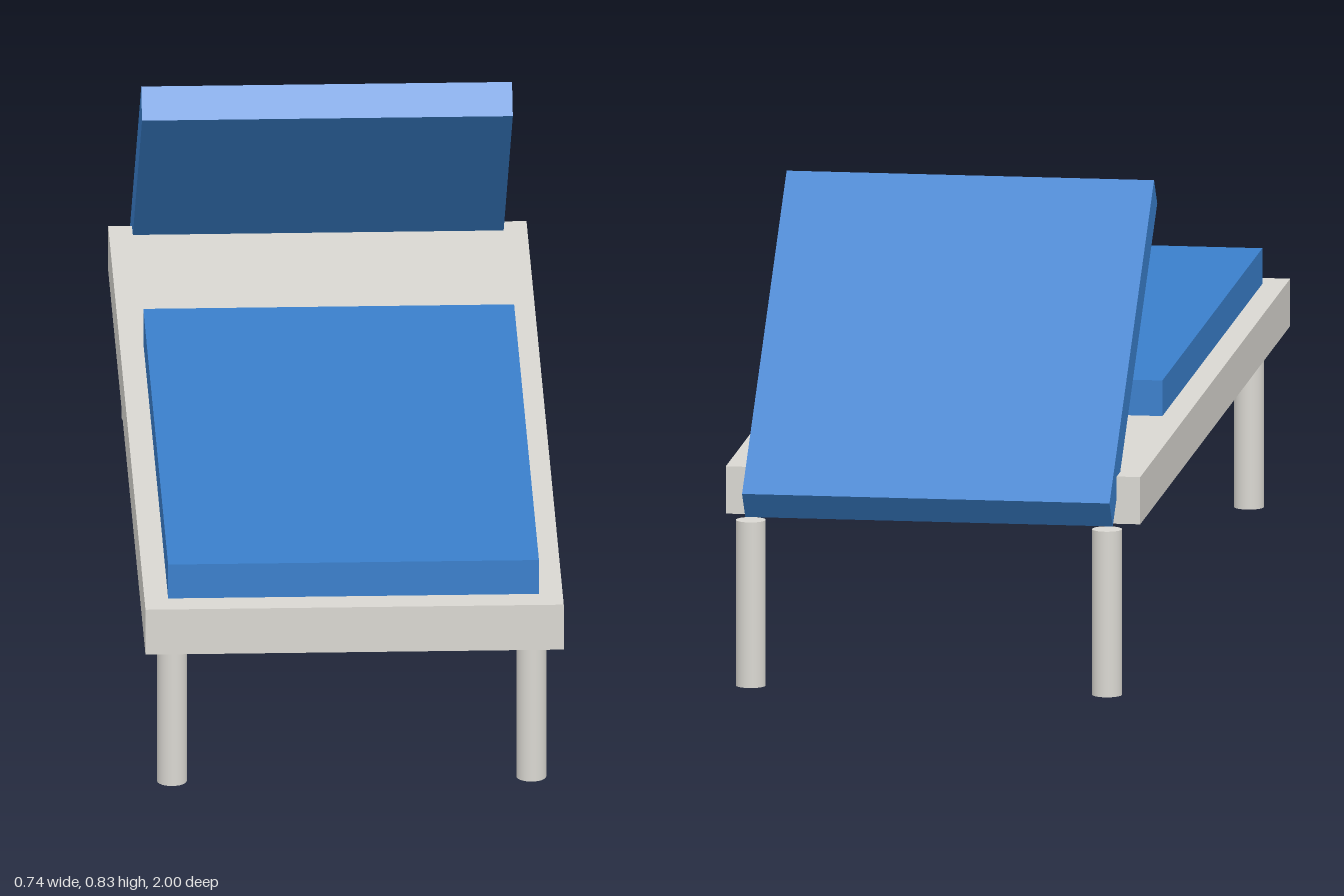
import * as THREE from 'three';

export function createModel() {
  const model = new THREE.Group();
  model.name = 'sunLounger';

  const frameMaterial = new THREE.MeshStandardMaterial({ color: 0xd9d7d1 });
  frameMaterial.name = 'pale grey frame';
  const cushionMaterial = new THREE.MeshStandardMaterial({ color: 0x3a7fcb });
  cushionMaterial.name = 'blue cushion';

  function add(name, geometry, material, x, y, z) {
    const mesh = new THREE.Mesh(geometry, material);
    mesh.name = name;
    mesh.position.set(x, y, z);
    model.add(mesh);
    return mesh;
  }

  // Flat bed frame
  add('frame', new THREE.BoxGeometry(0.74, 0.085, 1.908), frameMaterial, 0, 0.3405, 0.046);

  // Four round legs, the rear pair standing just behind the frame
  const legGeometry = new THREE.CylinderGeometry(0.0265, 0.0265, 0.298, 24);
  for (const side of [-1, 1]) {
    const label = side > 0 ? 'Left' : 'Right';
    add('front' + label + 'Leg', legGeometry, frameMaterial, side * 0.318, 0.149, 0.845);
    add('rear' + label + 'Leg', legGeometry, frameMaterial, side * 0.318, 0.149, -0.96);
  }

  // Seat cushion and the inclined backrest
  add('seatCushion', new THREE.BoxGeometry(0.656, 0.064, 1.272), cushionMaterial, 0, 0.415, 0.309);
  const backrest = add('backrest', new THREE.BoxGeometry(0.656, 0.064, 0.74), cushionMaterial, 0, 0.565, -0.696);
  backrest.rotation.x = -THREE.MathUtils.degToRad(40);

  return model;
}
